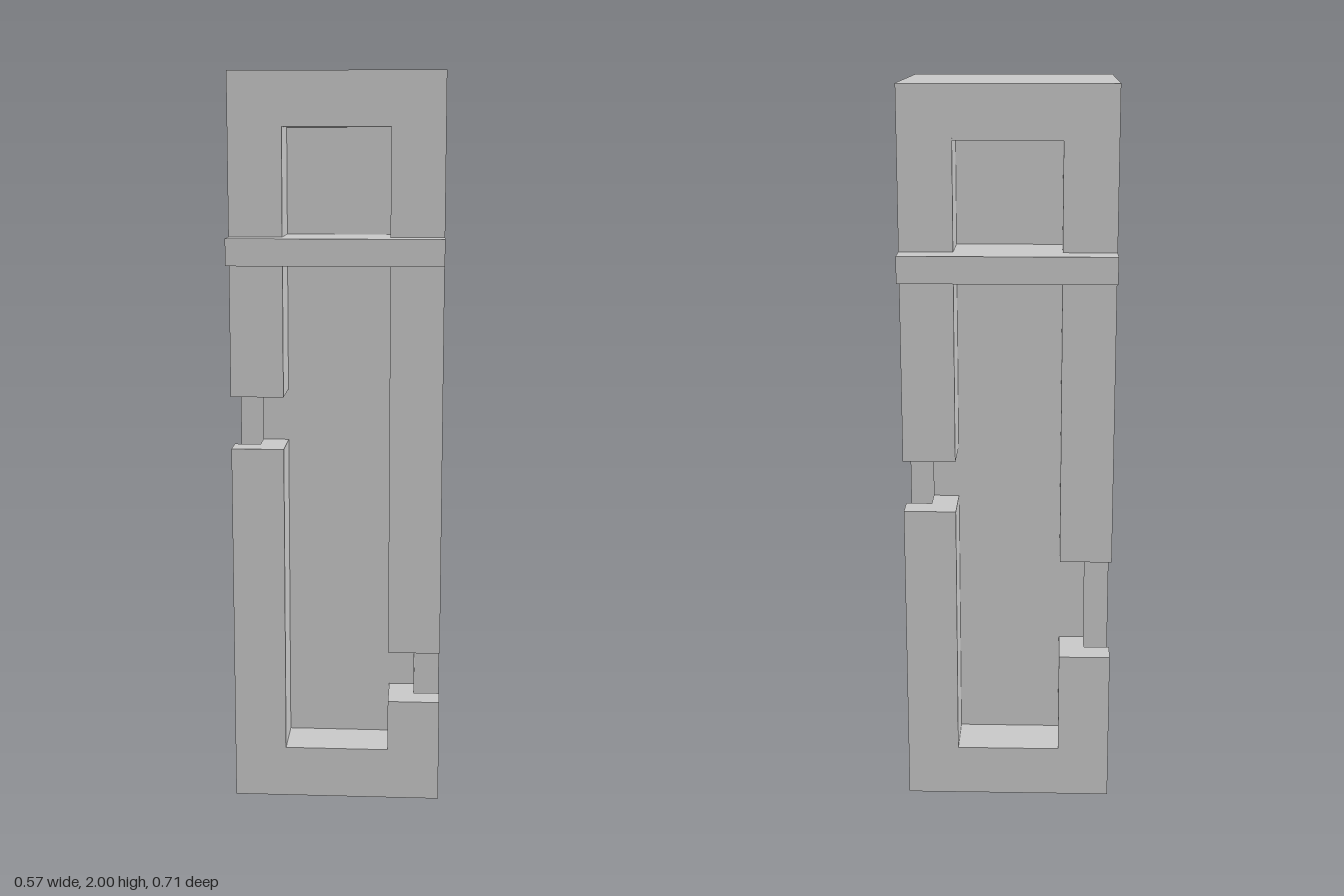
import * as THREE from 'three';

// Everything sits on a grid of 1/14 unit.
const U = 1 / 14;

export function createModel() {
  const group = new THREE.Group();
  const grey = new THREE.MeshStandardMaterial({ color: 0xc8c8c8 });
  grey.name = 'lightGrey';

  const add = (geometry, name) => {
    const mesh = new THREE.Mesh(geometry, grey);
    mesh.name = name;
    group.add(mesh);
  };

  // Box given by its lower and upper corners in grid steps
  const box = (name, [x0, y0, z0], [x1, y1, z1]) => {
    const g = new THREE.BoxGeometry((x1 - x0) * U, (y1 - y0) * U, (z1 - z0) * U);
    g.translate((x0 + x1) / 2 * U, (y0 + y1) / 2 * U, (z0 + z1) / 2 * U);
    add(g, name);
  };

  // Upright prism from a plan outline of [x, z] points
  const prism = (name, plan, y0, y1) => {
    const shape = new THREE.Shape(plan.map(([x, z]) => new THREE.Vector2(x * U, -z * U)));
    const g = new THREE.ExtrudeGeometry(shape, { depth: (y1 - y0) * U, bevelEnabled: false });
    g.rotateX(-Math.PI / 2);
    g.translate(0, y0 * U, 0);
    add(g, name);
  };

  // End slabs
  box('baseSlab', [-4, 0, -4], [4, 1, 4]);
  box('topSlab', [-4, 27, -4], [4, 28, 4]);

  // Core with a rib on each side between the grooves
  prism('core', [
    [3, 2], [3, 1], [4, 1], [4, -1], [3, -1], [3, -2],
    [-3, -2], [-3, -1], [-4, -1], [-4, 1], [-3, 1], [-3, 2],
  ], 1, 27);

  // Corner posts, each interrupted by a notch: [x sign, z sign, notch bottom, notch top]
  const posts = [[1, 1, 4, 6], [-1, 1, 14, 16], [1, -1, 12, 14], [-1, -1, 6, 10]];
  for (const [sx, sz, low, high] of posts) {
    const plan = [[2, 2], [3, 2], [3, 3], [4, 3], [4, 4], [2, 4]].map(([x, z]) => [x * sx, z * sz]);
    prism('lowerPost', plan, 1, low);
    prism('upperPost', plan, high, 27);
  }

  // Recess ends and crossbar on front and back
  for (const s of [1, -1]) {
    const [near, far] = s > 0 ? [2, 4] : [-4, -2];
    box('recessSill', [-2, 1, near], [2, 2, far]);
    box('recessLintel', [-2, 26, near], [2, 27, far]);
    box('recessShelf', [-2, 21, near], [2, 22, far]);
    box('crossbar', [-4, 21, s > 0 ? 4 : -5], [4, 22, s > 0 ? 5 : -4]);
  }
  return group;
}
